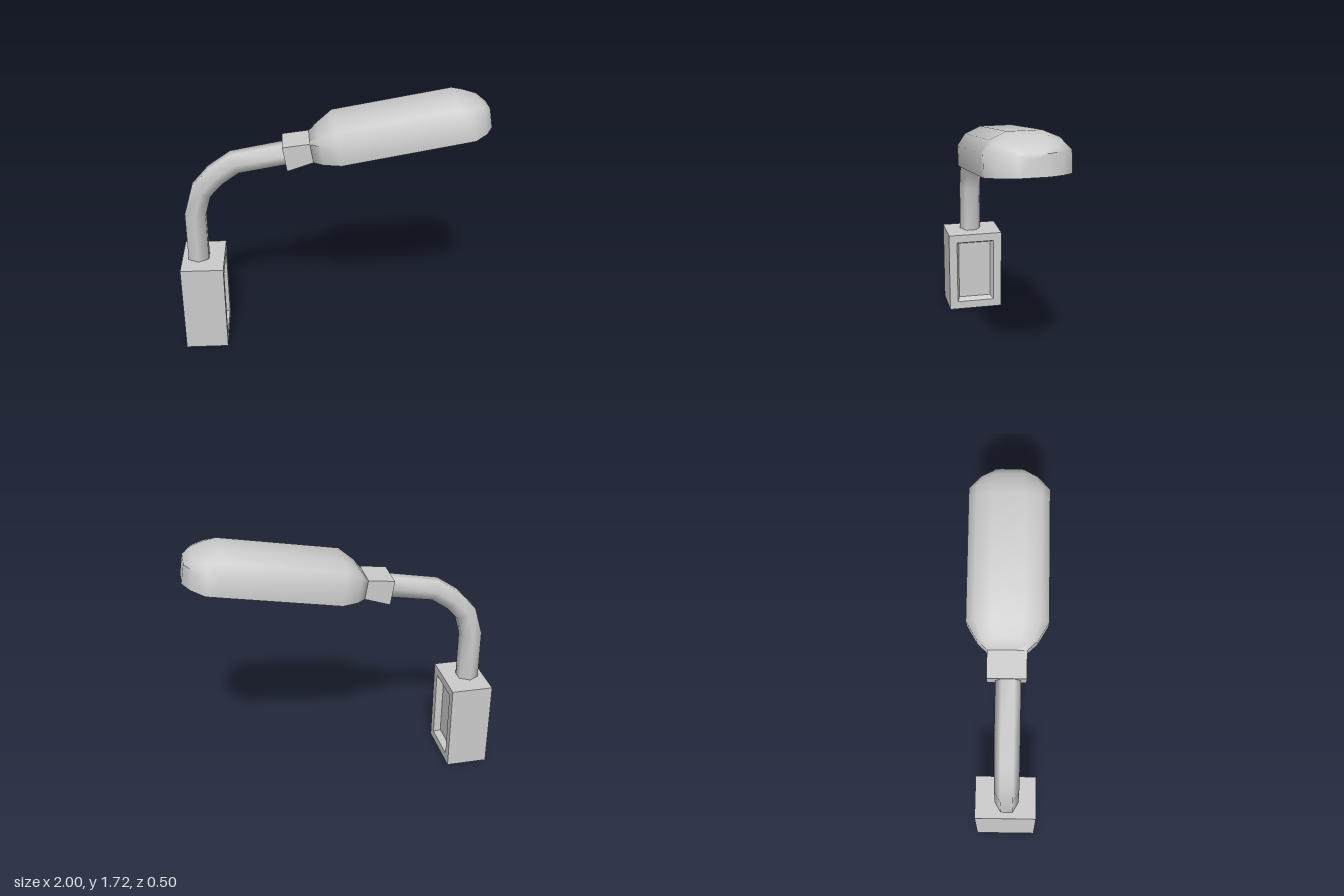
import * as THREE from 'three';
import { toCreasedNormals } from 'three/addons/utils/BufferGeometryUtils.js';

const material = new THREE.MeshStandardMaterial({ color: 0xcccccc });

// Skin closed rings of [x, y, z] points and cap both ends.
function loft(name, rings, crease) {
  const n = rings[0].length;
  const index = [];
  const centre = (ring) => [0, 1, 2].map((k) => ring.reduce((s, p) => s + p[k], 0) / n);
  const last = (rings.length - 1) * n;
  const startCentre = rings.length * n;
  const endCentre = startCentre + 1;
  for (let j = 0; j < n; j++) {
    const k = (j + 1) % n;
    for (let i = 0; i < last; i += n) {
      index.push(i + j, i + k, i + n + k, i + j, i + n + k, i + n + j);
    }
    index.push(startCentre, k, j, endCentre, last + j, last + k);
  }
  const points = [...rings.flat(), centre(rings[0]), centre(rings[rings.length - 1])];
  const geometry = new THREE.BufferGeometry();
  geometry.setAttribute('position', new THREE.Float32BufferAttribute(points.flat(), 3));
  geometry.setIndex(index);
  const mesh = new THREE.Mesh(toCreasedNormals(geometry, crease), material);
  mesh.name = name;
  return mesh;
}

// Rectangle across x, from y0 to y1 and z = -w to w.
const rect = (x, y0, y1, w) => [[x, y1, -w], [x, y1, w], [x, y0, w], [x, y0, -w]];

// Domed lamp section: flat bottom, upright walls to height s, rounded shoulders, top at h.
function headRing([u, w, s, h, t]) {
  const half = [[h, t], [s + (h - s) * 0.62, t + (w - t) * 0.66], [s, w], [0, w]];
  const mirrored = half.map(([y, z]) => [y, -z]).reverse();
  return [...half, ...mirrored].map(([y, z]) => [u, y, z]);
}

export function createModel() {
  const model = new THREE.Group();
  model.name = 'wallLamp';

  // Mounting block with a bevelled recess in its +x face
  model.add(loft('mountingBlock', [
    rect(-1, 0, 0.6, 0.2),
    rect(-0.72, 0, 0.6, 0.2),
    rect(-0.72, 0.06, 0.54, 0.14),
    rect(-0.765, 0.08, 0.52, 0.12),
  ], 0.5));

  // Six-sided bent arm, each ring set on the mitre of its bend
  const path = [[-0.89, 0.57], [-0.89, 0.93], [-0.842, 1.095], [-0.745, 1.2], [-0.62, 1.285], [-0.25, 1.35]]
    .map(([x, y]) => new THREE.Vector2(x, y));
  const radius = 0.078;
  const armRings = path.map((p, i) => {
    const before = p.clone().sub(path[Math.max(i - 1, 0)]).normalize();
    const after = path[Math.min(i + 1, path.length - 1)].clone().sub(p).normalize();
    const tangent = before.add(after).normalize();
    return Array.from({ length: 6 }, (_, j) => {
      const a = Math.PI / 6 + (j * Math.PI) / 3;
      const r = radius * Math.cos(a);
      return [p.x - tangent.y * r, p.y + tangent.x * r, 0.008 + radius * Math.sin(a)];
    });
  });
  model.add(loft('arm', armRings, 1.2));

  // Tilted lamp head
  const head = new THREE.Group();
  head.name = 'lampHead';
  head.position.set(-0.12, 1.315, 0);
  head.rotation.z = THREE.MathUtils.degToRad(10);

  // Socket joining the arm to the lamp
  head.add(loft('socket', [
    rect(-0.173, -0.025, 0.137, 0.12),
    rect(0, 0, 0.127, 0.12),
  ], 0.5));

  // Lamp housing: u, half width, wall height, top height, half width of the flat top
  head.add(loft('lampHousing', [
    [0, 0.12, 0.125, 0.127, 0.07],
    [0.06, 0.185, 0.128, 0.183, 0.08],
    [0.17, 0.25, 0.13, 0.245, 0.1],
    [0.94, 0.25, 0.13, 0.243, 0.1],
    [1.005, 0.25, 0.13, 0.218, 0.1],
    [1.088, 0.175, 0.13, 0.18, 0.085],
    [1.137, 0.085, 0.125, 0.13, 0.05],
  ].map(headRing), 1));
  model.add(head);

  return model;
}
